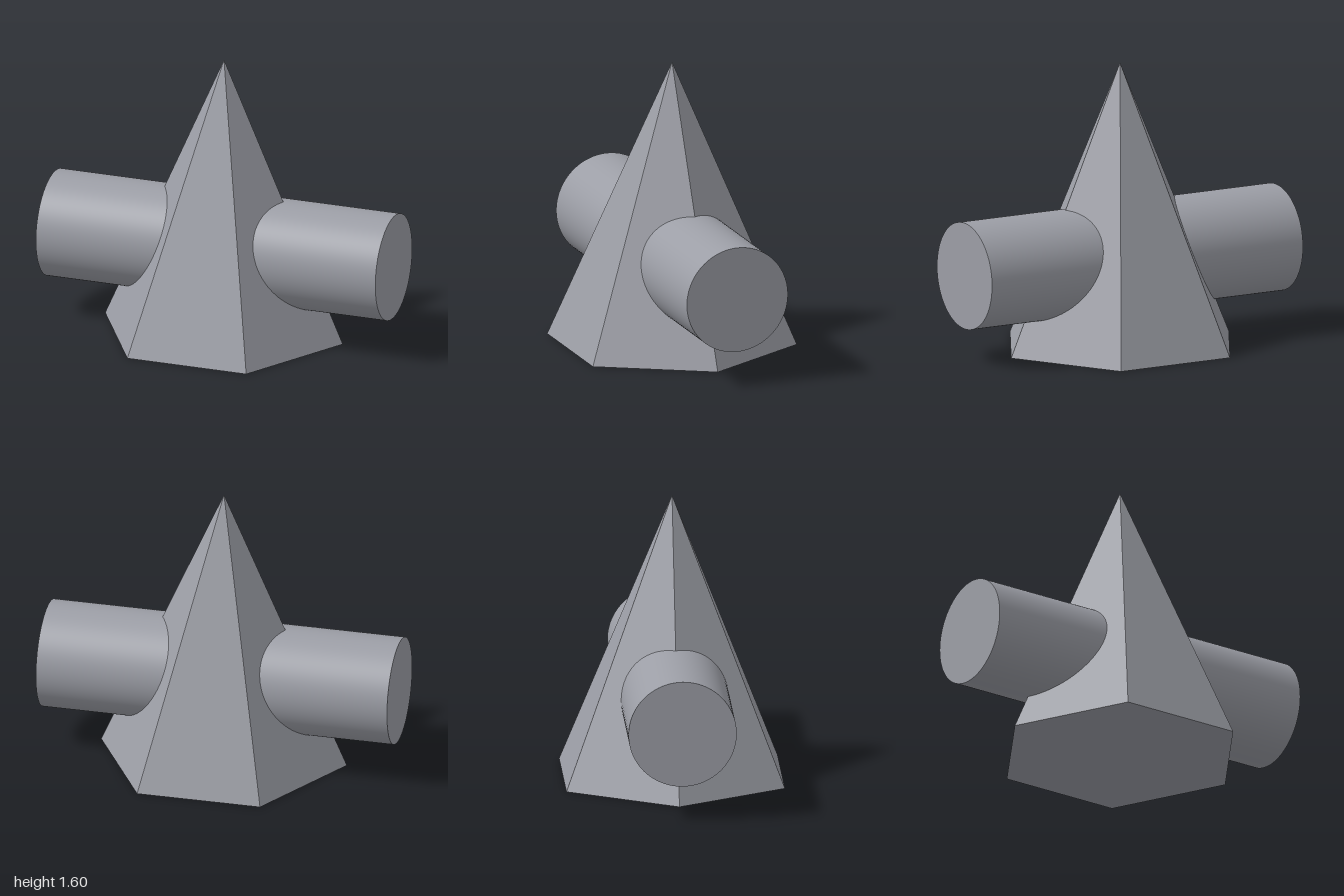
import * as THREE from 'three';

export function createModel() {
  const model = new THREE.Group();
  const height = 1.6;
  const color = 0x9c9ea6; // cool mid grey

  // Six-sided pyramid with two corners on the x axis
  const pyramid = new THREE.Mesh(
    new THREE.ConeGeometry(0.7, height, 6, 1, false, Math.PI / 6),
    new THREE.MeshStandardMaterial({ color, flatShading: true })
  );
  pyramid.name = 'hexagonalPyramid';
  pyramid.position.y = height / 2;
  model.add(pyramid);

  // Round bar passing through the pyramid from side to side
  const bar = new THREE.Mesh(
    new THREE.CylinderGeometry(0.3, 0.3, 2, 96),
    new THREE.MeshStandardMaterial({ color })
  );
  bar.name = 'crossBar';
  bar.rotation.z = Math.PI / 2;
  bar.position.y = 0.5;
  model.add(bar);

  return model;
}
